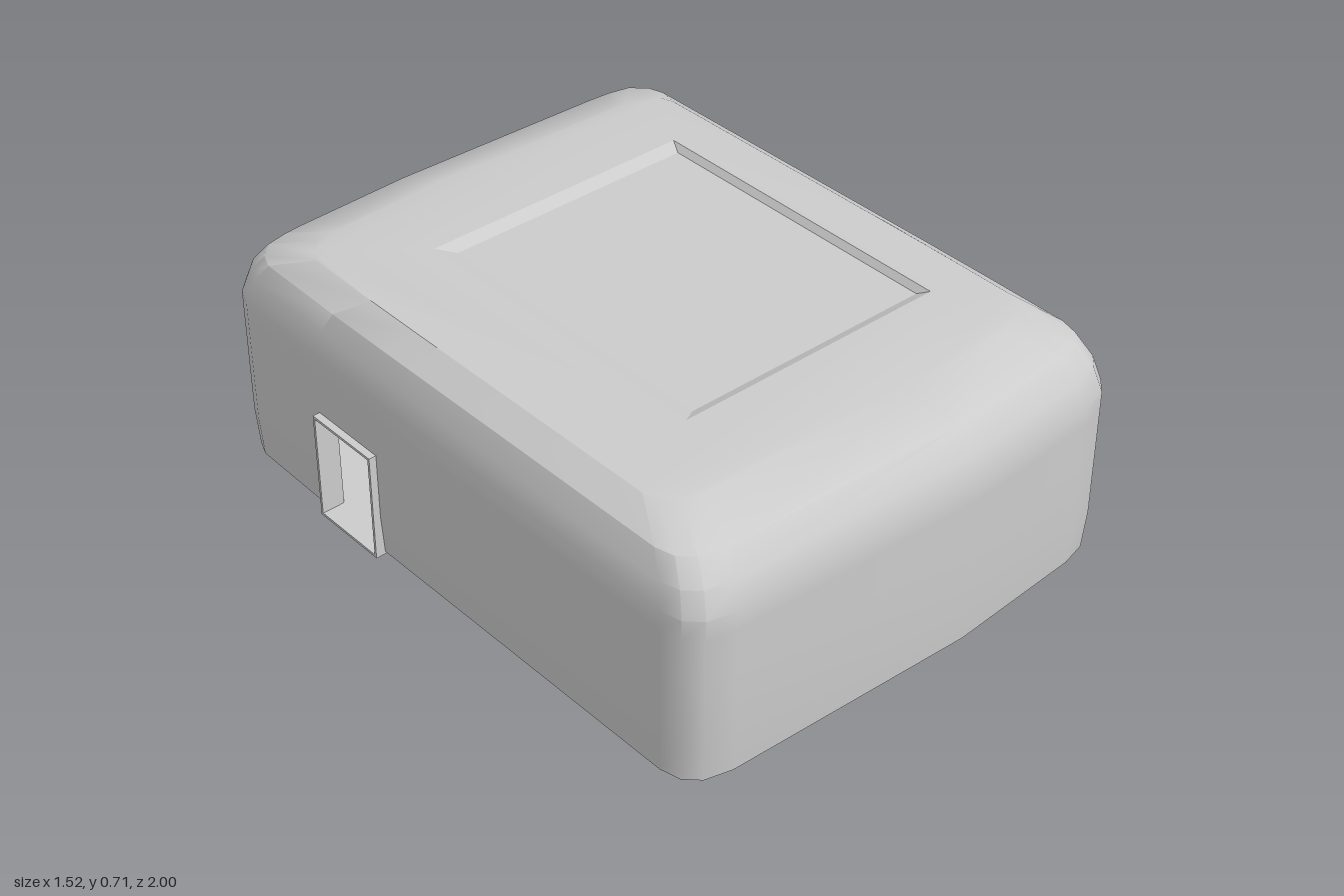
import * as THREE from 'three';
import { mergeGeometries, toCreasedNormals } from 'three/addons/utils/BufferGeometryUtils.js';

const material = new THREE.MeshStandardMaterial({ color: 0xcccccc });

// Plan outline [x, z], anticlockwise from above, with points at the opening edges
const plan = [
  [0.6, 0.97], [0.68, 0.95], [0.72, 0.91], [0.735, 0.85], [0.737, 0.55], [0.737, 0.3],
  [0.73, -0.83], [0.715, -0.88], [0.67, -0.925], [0.6, -0.94], [0.52, -0.945], [-0.17, -0.96],
  [-0.54, -0.945], [-0.6, -0.94], [-0.67, -0.925], [-0.715, -0.88], [-0.735, -0.83],
  [-0.74, -0.51], [-0.74, -0.26], [-0.735, 0.85], [-0.72, 0.91], [-0.68, 0.95],
  [-0.6, 0.97], [0.17, 1.0],
];
const CZ = 0.02;

// Is the wall cell between plan points i and k at height y part of an opening?
function isOpening(i, k, y) {
  const x = (plan[i][0] + plan[k][0]) / 2, z = (plan[i][1] + plan[k][1]) / 2;
  if (z < -0.94 && x > -0.54 && x < 0.52) return y > 0.14 && y < 0.47;
  if (x > 0.73 && z > 0.3 && z < 0.55) return y > 0.02 && y < 0.34;
  if (x < -0.73 && z > -0.51 && z < -0.26) return y > 0.02 && y < 0.34;
  return false;
}

const ringAt = ([y, ix, iz]) =>
  plan.map(([x, z]) => [x * (1 - ix / 0.74), y, CZ + (z - CZ) * (1 - iz / 0.98)]);

function fromPositions(p) {
  const g = new THREE.BufferGeometry();
  g.setAttribute('position', new THREE.Float32BufferAttribute(p, 3));
  return g;
}

// Walls lofted through levels [y, insetX, insetZ], skipping the openings
function walls(levels, inward = false) {
  const rings = levels.map(ringAt), p = [], n = plan.length;
  for (let j = 0; j < levels.length - 1; j++) {
    for (let i = 0; i < n; i++) {
      const k = (i + 1) % n;
      if (isOpening(i, k, (levels[j][0] + levels[j + 1][0]) / 2)) continue;
      const a = rings[j][i], b = rings[j][k], c = rings[j + 1][k], d = rings[j + 1][i];
      const q = inward ? [a, c, b, a, d, c] : [a, b, c, a, c, d];
      q.forEach((v) => p.push(...v));
    }
  }
  return fromPositions(p);
}

// Flat cap filling one level, optionally with a rectangular hole
function cap(level, up, hole) {
  const s = up ? -1 : 1;
  const v = (x, z) => new THREE.Vector2(x, s * z);
  const shape = new THREE.Shape(ringAt(level).map(([x, , z]) => v(x, z)));
  if (hole) shape.holes.push(new THREE.Path(hole.map(([x, z]) => v(x, z))));
  let g = new THREE.ShapeGeometry(shape);
  g.rotateX(s * Math.PI / 2).translate(0, level[0], 0);
  g = g.toNonIndexed();
  g.deleteAttribute('uv');
  g.deleteAttribute('normal');
  return g;
}

const rect = (x0, x1, z0, z1) => [[x0, z1], [x1, z1], [x1, z0], [x0, z0]];

// Shallow tray sunk into the lid
function tray(rim, floor, yTop, yFloor) {
  const p = [];
  const tri = (...vs) => vs.forEach(([c, y]) => p.push(c[0], y, c[1]));
  for (let i = 0; i < 4; i++) {
    const k = (i + 1) % 4;
    const a = [rim[i], yTop], b = [rim[k], yTop], c = [floor[k], yFloor], d = [floor[i], yFloor];
    tri(a, b, c, a, c, d);
  }
  const f = floor.map((c) => [c, yFloor]);
  tri(f[0], f[1], f[2], f[0], f[2], f[3]);
  return fromPositions(p);
}

// Rectangular collar around an opening, extruded along z
function collar(x0, x1, y0, y1, t, depth) {
  const box = (m) => [[x0 + m, y0 + m], [x1 - m, y0 + m], [x1 - m, y1 - m], [x0 + m, y1 - m]]
    .map(([x, y]) => new THREE.Vector2(x, y));
  const shape = new THREE.Shape(box(0));
  shape.holes.push(new THREE.Path(box(t)));
  return new THREE.ExtrudeGeometry(shape, { depth, bevelEnabled: false });
}

export function createModel() {
  const model = new THREE.Group();
  const add = (name, geometry) => {
    const mesh = new THREE.Mesh(geometry, material);
    mesh.name = name;
    model.add(mesh);
    return mesh;
  };

  // Outer skin: bevelled base, straight sides, rounded shoulders
  const outer = [
    [0, 0.06, 0.06], [0.008, 0.025, 0.025], [0.02, 0.006, 0.008], [0.14, 0, 0], [0.34, 0, 0],
    [0.47, 0, 0], [0.53, 0, 0], [0.6, 0.015, 0.025], [0.66, 0.04, 0.075], [0.71, 0.11, 0.22],
  ];
  const rim = rect(-0.36, 0.48, -0.48, 0.52);
  const floor = rect(-0.31, 0.465, -0.445, 0.485);
  const top = outer[outer.length - 1];
  add('outerShell', toCreasedNormals(
    mergeGeometries([walls(outer), cap(top, true, rim), cap(outer[0], false)]), 0.55));
  add('lidRecess', toCreasedNormals(tray(rim, floor, 0.71, 0.692), 0.3));

  // Hollow inside
  const inner = [
    [0.02, 0.045, 0.045], [0.14, 0.04, 0.04], [0.34, 0.04, 0.04], [0.47, 0.04, 0.04],
    [0.53, 0.04, 0.04], [0.6, 0.06, 0.08], [0.65, 0.12, 0.2],
  ];
  add('innerShell', toCreasedNormals(mergeGeometries([
    walls(inner, true), cap(inner[0], true), cap(inner[inner.length - 1], false)]), 0.55));

  // Wide collar at the back
  add('backCollar', collar(-0.54, 0.52, 0.14, 0.47, 0.025, 0.1)).position.z = -1;

  // Small collars on both sides, staggered along the length
  for (const [name, side, z] of [['leftCollar', 1, 0.425], ['rightCollar', -1, -0.385]]) {
    const mesh = add(name, collar(-0.125, 0.125, 0.01, 0.342, 0.008, 0.07));
    mesh.rotation.y = side * Math.PI / 2;
    mesh.position.set(side * 0.692, 0, z);
  }
  return model;
}
